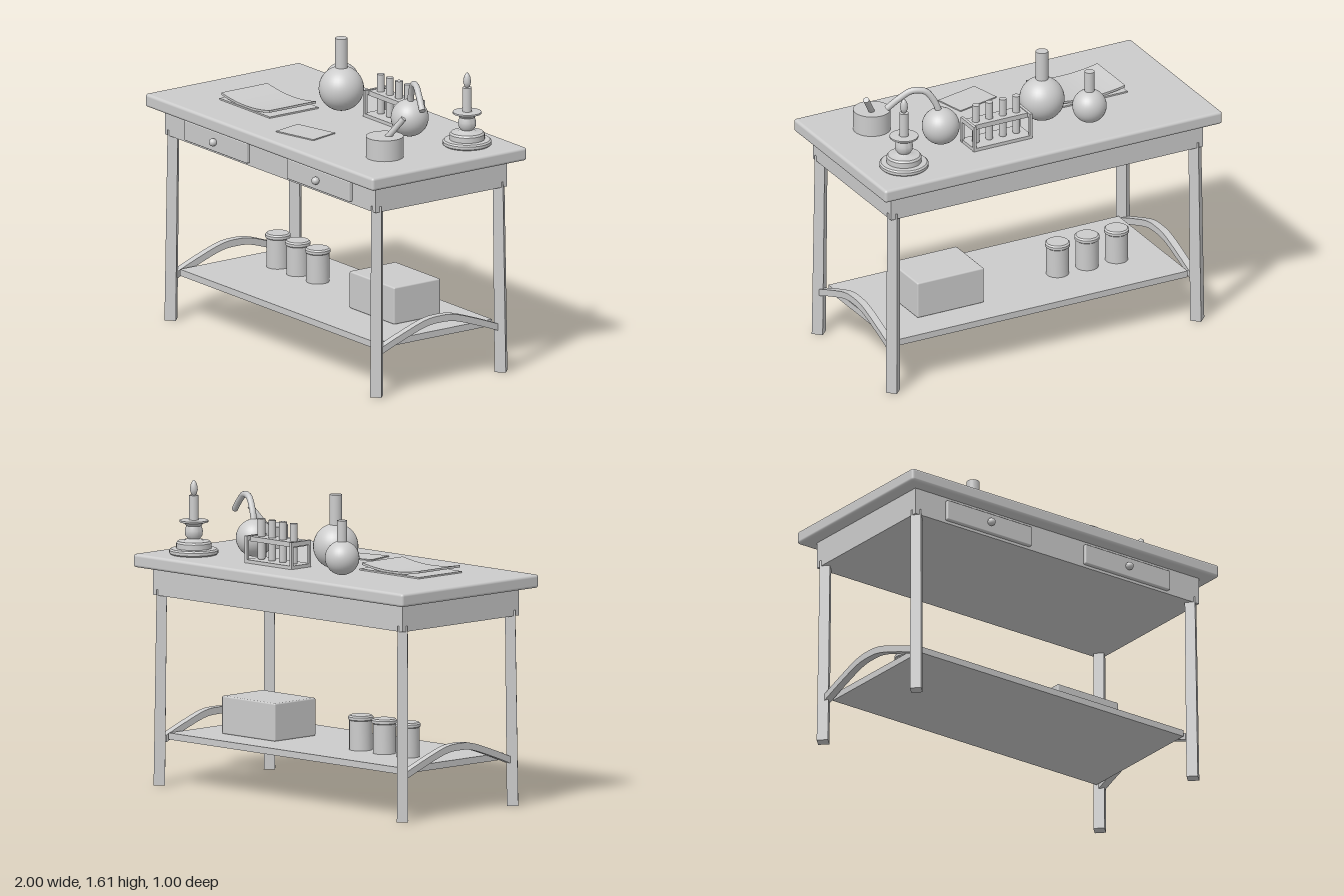
import * as THREE from 'three';
import { RoundedBoxGeometry } from 'three/addons/geometries/RoundedBoxGeometry.js';
import { toCreasedNormals } from 'three/addons/utils/BufferGeometryUtils.js';

const grey = new THREE.MeshStandardMaterial({ color: 0xcccccc });
grey.name = 'plain grey';
const TOP = 1.215, SHELF = 0.275;

export function createModel() {
  const root = new THREE.Group();
  root.name = 'workbench';

  const add = (name, geo, x = 0, y = 0, z = 0, parent = root) => {
    const m = new THREE.Mesh(geo, grey);
    m.name = name;
    m.position.set(x, y, z);
    parent.add(m);
    return m;
  };
  const group = (name, x, y, z) => {
    const g = new THREE.Group();
    g.name = name;
    g.position.set(x, y, z);
    root.add(g);
    return g;
  };
  // box given by its lower and upper limits
  const box = (name, x0, x1, y0, y1, z0, z1, parent) =>
    add(name, new THREE.BoxGeometry(x1 - x0, y1 - y0, z1 - z0),
      (x0 + x1) / 2, (y0 + y1) / 2, (z0 + z1) / 2, parent);
  const rod = (r, h, n = 24) => new THREE.CylinderGeometry(r, r, h, n);
  const lathe = (pts, n = 32) => toCreasedNormals(
    new THREE.LatheGeometry(pts.map(p => new THREE.Vector2(...p)), n), 0.6);
  // band of constant thickness following a curve, extruded to a width
  const band = (upper, thick, width) => {
    const lower = upper.map(p => new THREE.Vector2(p.x, p.y - thick)).reverse();
    const geo = new THREE.ExtrudeGeometry(new THREE.Shape([...upper, ...lower]),
      { depth: width, bevelEnabled: false });
    geo.translate(0, 0, -width / 2);
    return toCreasedNormals(geo, 0.5);
  };

  // table top, apron and shelf
  add('tableTop', new RoundedBoxGeometry(2, 0.07, 1, 3, 0.015), 0, 1.18, 0);
  box('apron', -0.925, 0.925, 1, 1.15, -0.425, 0.425);
  box('shelf', -0.86, 0.86, 0.24, SHELF, -0.375, 0.375);

  // diamond section legs leaning slightly inward, with a curved brace at each end
  const arch = new THREE.SplineCurve([[-0.375, 0.262], [-0.25, 0.31], [-0.1, 0.36], [0, 0.37],
    [0.1, 0.36], [0.25, 0.31], [0.375, 0.262]].map(p => new THREE.Vector2(...p))).getPoints(30);
  for (const sx of [-1, 1]) {
    for (const sz of [-1, 1]) {
      const leg = new THREE.CylinderGeometry(0.038, 0.042, 1.03, 4).toNonIndexed();
      const p = leg.attributes.position;
      for (let i = 0; i < p.count; i++) {
        const lean = -0.009 * (p.getY(i) / 1.03 + 0.5);
        p.setX(i, p.getX(i) + sx * lean);
        p.setZ(i, p.getZ(i) + sz * lean);
      }
      leg.computeVertexNormals();
      add('leg', leg, sx * 0.902, 0.515, sz * 0.402);
    }
    add('endBrace', band(arch, 0.037, 0.04), sx * 0.895, 0, 0).rotation.y = Math.PI / 2;
  }

  // drawers with round knobs
  for (const x of [-0.455, 0.445]) {
    add('drawerFront', new RoundedBoxGeometry(0.55, 0.11, 0.04, 2, 0.006), x, 1.07, 0.426);
    add('drawerKnob', new THREE.SphereGeometry(0.021, 20, 14), x, 1.07, 0.461);
  }

  // jars and crate on the shelf
  for (const x of [-0.605, -0.43, -0.255]) {
    add('jar', lathe([[0, 0], [0.06, 0], [0.06, 0.155], [0.066, 0.16], [0.066, 0.174],
      [0.058, 0.182], [0, 0.182]]), x, SHELF, -0.07);
  }
  add('crate', new RoundedBoxGeometry(0.395, 0.2, 0.3, 2, 0.008), 0.448, SHELF + 0.1, -0.05);

  // round flasks
  for (const [x, y, z, r, neck, top] of [
    [-0.33, 1.313, -0.28, 0.09, 0.026, 1.51], [-0.13, 1.338, -0.13, 0.118, 0.033, 1.61]]) {
    const g = group('flask', x, 0, z);
    add('flaskBulb', new THREE.SphereGeometry(r, 32, 24), 0, y, 0, g);
    add('flaskNeck', rod(neck, top - y), 0, (top + y) / 2, 0, g);
  }

  // retort with a bent spout
  add('retortBulb', new THREE.SphereGeometry(0.099, 32, 24), 0.47, 1.318, -0.13);
  const spout = new THREE.CatmullRomCurve3([[0.475, 1.39, -0.13], [0.5, 1.46, -0.118],
    [0.545, 1.52, -0.098], [0.61, 1.525, -0.07], [0.67, 1.485, -0.045], [0.73, 1.43, -0.02]]
    .map(p => new THREE.Vector3(...p)));
  add('retortSpout', new THREE.TubeGeometry(spout, 32, 0.017, 12), 0, 0, 0);
  const ends = [spout.getPoint(1), spout.getTangent(1)];
  const cap = add('spoutEnd', new THREE.CircleGeometry(0.017, 12), ...ends[0].toArray());
  cap.lookAt(ends[0].clone().add(ends[1]));

  // test tube rack
  const rack = group('tubeRack', 0.195, TOP, -0.232);
  box('rackBase', -0.172, 0.172, 0, 0.018, -0.072, 0.072, rack);
  box('rackTop', -0.165, 0.165, 0.112, 0.138, -0.046, 0.046, rack);
  for (const s of [-1, 1]) {
    for (const z of [-0.064, 0.064]) {
      box('rackPost', s * 0.166 - 0.008, s * 0.166 + 0.008, 0, 0.142, z - 0.008, z + 0.008, rack);
    }
    box('rackEndRail', s * 0.166 - 0.008, s * 0.166 + 0.008, 0.118, 0.142, -0.072, 0.072, rack);
  }
  for (const x of [-0.117, -0.037, 0.043, 0.122]) {
    add('testTube', rod(0.02, 0.205, 16), x, 0.128, 0, rack);
    add('testTubeBottom', new THREE.SphereGeometry(0.02, 16, 10), x, 0.026, 0, rack);
  }

  // candle on a stepped holder
  const candle = group('candle', 0.77, TOP, -0.28);
  add('candleHolder', lathe([[0, 0], [0.12, 0], [0.128, 0.007], [0.128, 0.022], [0.12, 0.03],
    [0.092, 0.032], [0.092, 0.06], [0.084, 0.07], [0.05, 0.072], [0.033, 0.083], [0.045, 0.1],
    [0.047, 0.125], [0.04, 0.15], [0.05, 0.162], [0.075, 0.17], [0.075, 0.179], [0.025, 0.181]]),
    0, 0, 0, candle);
  add('candleStick', rod(0.024, 0.13), 0, 0.245, 0, candle);
  add('flame', new THREE.LatheGeometry([[0, 0], [0.014, 0.012], [0.021, 0.035], [0.017, 0.062],
    [0.009, 0.08], [0, 0.087]].map(p => new THREE.Vector2(...p)), 16), 0, 0.304, 0, candle);

  // mortar and pestle
  add('mortar', rod(0.098, 0.112, 40), 0.698, TOP + 0.056, 0.2);
  const a = new THREE.Vector3(0.693, 1.3, 0.196), b = new THREE.Vector3(0.77, 1.425, 0.13);
  const dir = b.clone().sub(a);
  add('pestle', rod(0.016, dir.length(), 16), ...a.clone().add(b).divideScalar(2).toArray())
    .quaternion.setFromUnitVectors(new THREE.Vector3(0, 1, 0), dir.normalize());

  // open book: flat cover and two lifted pages
  box('bookCover', -0.675, -0.235, TOP, TOP + 0.008, -0.06, 0.255);
  for (const s of [-1, 1]) {
    const page = [];
    for (let i = 0; i <= 12; i++) {
      const t = s < 0 ? 1 - i / 12 : i / 12;
      page.push(new THREE.Vector2(s * t * 0.212, 0.018 + 0.022 * t * t));
    }
    add('bookPages', band(page, 0.012, 0.3), -0.455, TOP, 0.1);
  }

  // loose note
  add('note', new THREE.BoxGeometry(0.253, 0.006, 0.173), 0.095, TOP + 0.003, 0.267)
    .rotation.y = 0.235;

  return root;
}
